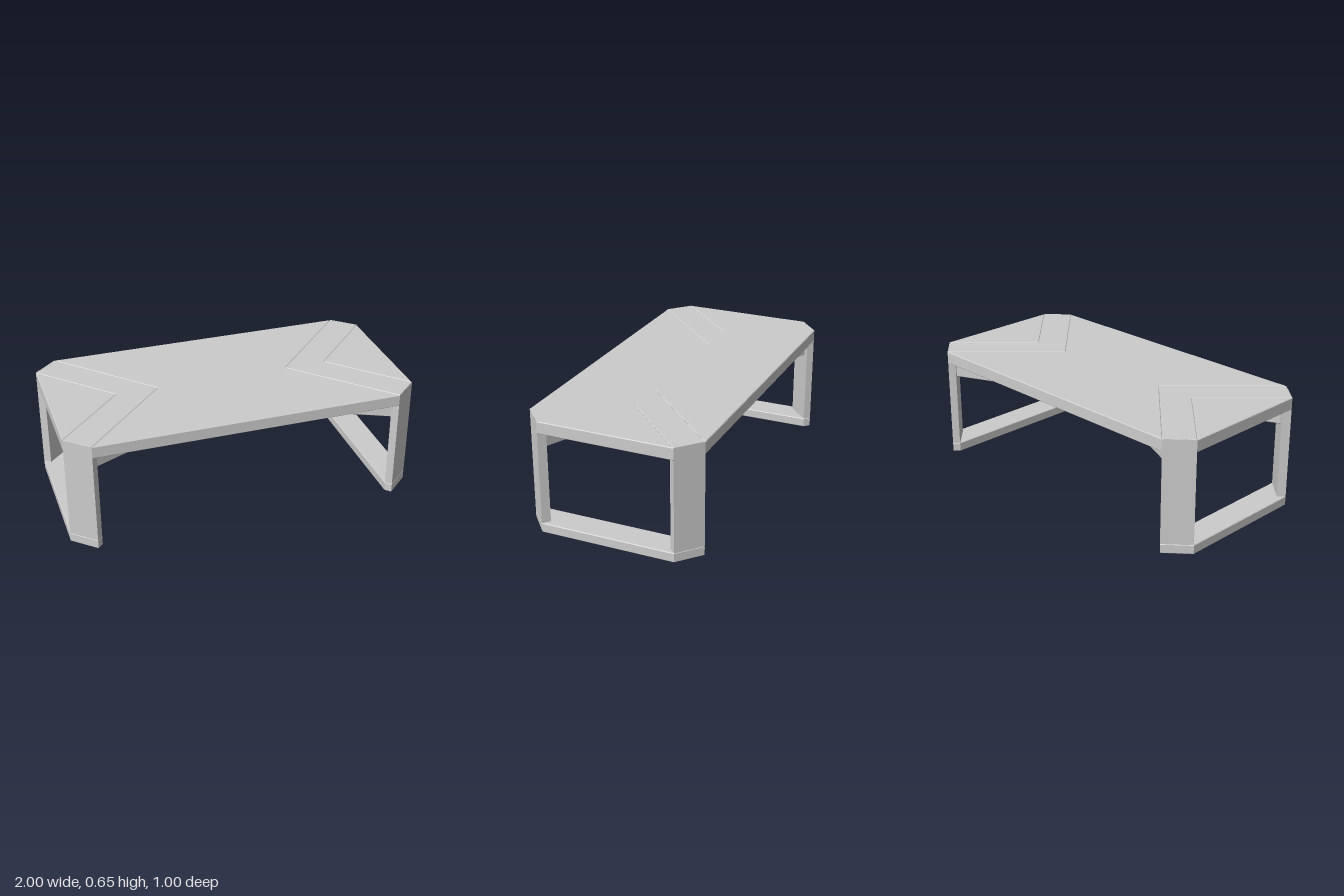
import * as THREE from 'three';

const BEVEL = 0.004;

// Moves a counter-clockwise outline inwards by d
function inset(pts, d) {
  return pts.map((p, i) => {
    const prev = pts[(i + pts.length - 1) % pts.length];
    const next = pts[(i + 1) % pts.length];
    const a = p.clone().sub(prev).normalize();
    const b = next.clone().sub(p).normalize();
    const n1 = new THREE.Vector2(-a.y, a.x);
    const n2 = new THREE.Vector2(-b.y, b.x);
    const k = d / Math.max(0.2, 1 + n1.dot(n2));
    return p.clone().add(n1.add(n2).multiplyScalar(k));
  });
}

// Closed solid through level outlines [y, [[x, z], ...]], from bottom to top
function loft(levels) {
  const loops = levels.map(([y, pts]) => ({ y, pts: pts.map(([x, z]) => new THREE.Vector2(x, z)) }));
  if (THREE.ShapeUtils.isClockWise(loops[0].pts)) loops.forEach((l) => l.pts.reverse());
  const pos = [];
  const tri = (...corners) => corners.forEach(([l, i]) => pos.push(l.pts[i].x, l.y, l.pts[i].y));
  const n = loops[0].pts.length;
  for (let k = 0; k < loops.length - 1; k++) {
    const lo = loops[k], hi = loops[k + 1];
    for (let i = 0; i < n; i++) {
      const j = (i + 1) % n;
      tri([lo, i], [hi, i], [hi, j]);
      tri([lo, i], [hi, j], [lo, j]);
    }
  }
  const bottom = loops[0], top = loops[loops.length - 1];
  for (const [a, b, c] of THREE.ShapeUtils.triangulateShape(bottom.pts, [])) tri([bottom, a], [bottom, b], [bottom, c]);
  for (const [a, b, c] of THREE.ShapeUtils.triangulateShape(top.pts, [])) tri([top, c], [top, b], [top, a]);
  const geo = new THREE.BufferGeometry();
  geo.setAttribute('position', new THREE.Float32BufferAttribute(pos, 3));
  geo.computeVertexNormals();
  return geo;
}

// Board with small chamfers; its top outline may differ from the bottom one
function board(y0, y1, low, high = low) {
  const shrink = (pts) => {
    const v = pts.map(([x, z]) => new THREE.Vector2(x, z));
    const cw = THREE.ShapeUtils.isClockWise(v);
    return inset(v, cw ? -BEVEL : BEVEL).map((p) => [p.x, p.y]);
  };
  return loft([[y0, shrink(low)], [y0 + BEVEL, low], [y1 - BEVEL, high], [y1, shrink(high)]]);
}

export function createModel() {
  const group = new THREE.Group();
  group.name = 'coffeeTable';
  const grey = new THREE.MeshStandardMaterial({ color: 0xcccccc });
  grey.name = 'light grey';
  const add = (name, geo) => {
    const mesh = new THREE.Mesh(geo, grey);
    mesh.name = name;
    group.add(mesh);
  };
  const flip = (pts, sx, sz) => pts.map(([x, z]) => [x * sx, z * sz]);

  const FOOT = 0.055, UNDER = 0.58, TOP = 0.65;

  // Middle panel of the top, notched at both ends
  add('centrePanel', board(UNDER, TOP, [
    [-0.87, 0.5], [0.87, 0.5], [0.38, 0], [0.87, -0.5], [-0.87, -0.5], [-0.38, 0],
  ]));

  for (const [side, sx] of [['left', 1], ['right', -1]]) {
    // V-shaped band, mitred into the legs
    add(side + 'ChevronBand', board(UNDER, TOP,
      flip([[0.84, 0.469], [0.965, 0.35], [0.62, 0], [0.965, -0.35], [0.84, -0.469], [0.38, 0]], sx, 1),
      flip([[0.87, 0.5], [1, 0.385], [0.62, 0], [1, -0.385], [0.87, -0.5], [0.38, 0]], sx, 1)));

    // Triangular end panel
    add(side + 'EndPanel', board(UNDER, TOP, flip([[1, 0.385], [1, -0.385], [0.62, 0]], sx, 1)));

    // Floor rail with cut corners
    add(side + 'FloorRail', board(0, FOOT, flip([
      [1, 0.385], [0.87, 0.5], [0.84, 0.469], [0.84, -0.469], [0.87, -0.5], [1, -0.385],
    ], sx, 1)));

    // Diagonal corner legs with a mitred top
    for (const [end, sz] of [['Front', 1], ['Back', -1]]) {
      const section = flip([[1, 0.385], [0.87, 0.5], [0.84, 0.469], [0.965, 0.35]], sx, sz);
      const tip = flip([[1, 0.385], [0.87, 0.5], [0.869, 0.499], [0.999, 0.384]], sx, sz);
      add(side + end + 'Leg', loft([[FOOT, section], [UNDER, section], [TOP, tip]]));
    }
  }

  // Crossed braces under the top: one in full length, one in two halves
  add('longBrace', board(0.48, UNDER, [
    [0.866, 0.445], [0.939, 0.376], [-0.866, -0.445], [-0.939, -0.376],
  ]));
  for (const s of [1, -1]) {
    add('halfBrace', board(0.48, UNDER, flip([
      [0.866, -0.445], [0.939, -0.376], [0.112, 0], [0, -0.051],
    ], s, s)));
  }
  return group;
}
